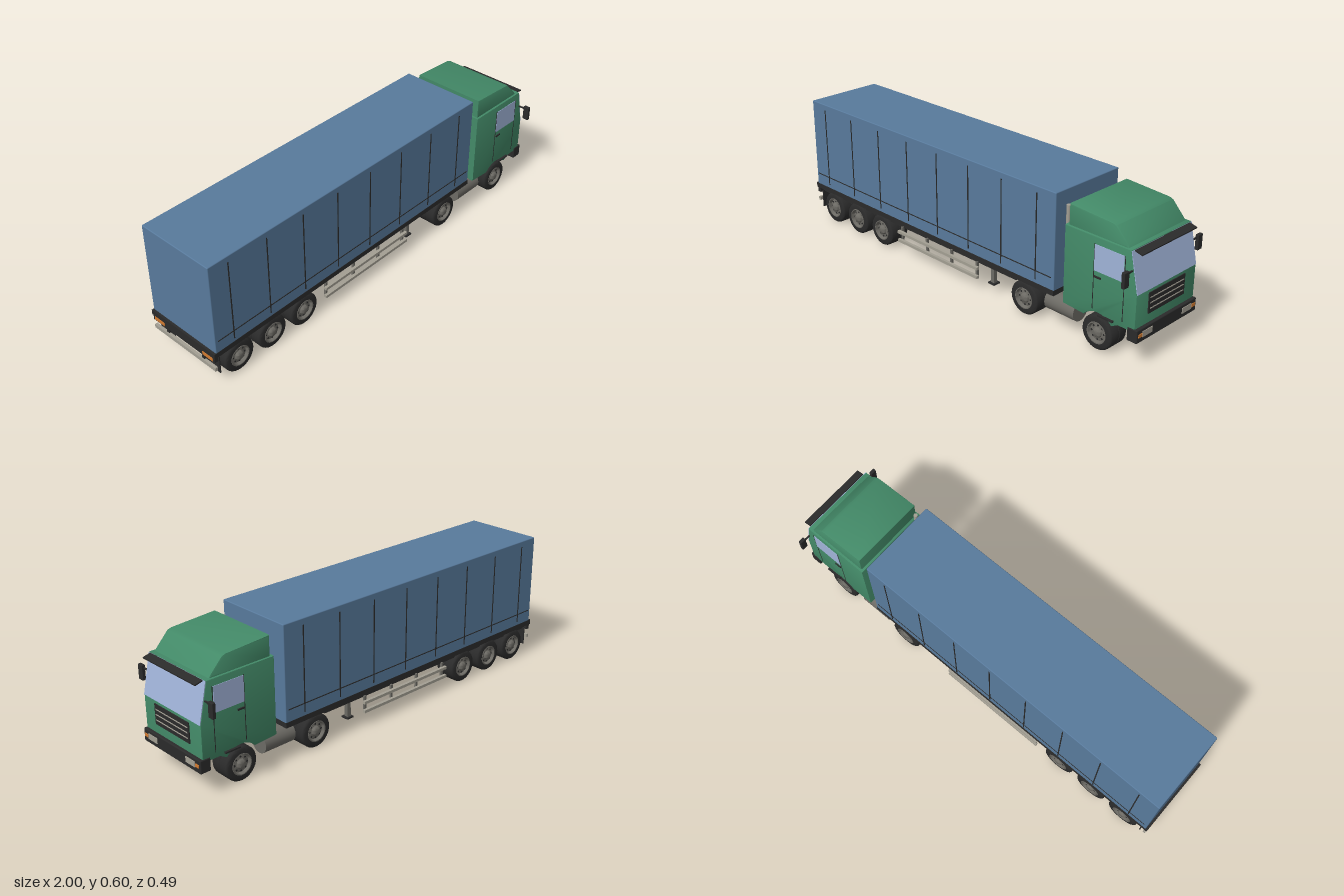
import * as THREE from 'three';
import { RoundedBoxGeometry } from 'three/addons/geometries/RoundedBoxGeometry.js';
import { toCreasedNormals } from 'three/addons/utils/BufferGeometryUtils.js';

export function createModel() {
  const truck = new THREE.Group();
  truck.name = 'truck';
  const mat = (name, color) => {
    const m = new THREE.MeshStandardMaterial({ color });
    m.name = name;
    return m;
  };
  const blue = mat('trailer blue', 0x587a9c);
  const green = mat('cab green', 0x438a68);
  const glass = mat('pale glass', 0xa0b3d8);
  const black = mat('black trim', 0x2b2b2b);
  const grey = mat('rim grey', 0x6c6a64);
  const beige = mat('light metal', 0xa39f93);
  const orange = mat('indicator orange', 0xd27b30);

  const add = (name, geometry, material, parent = truck) => {
    const m = new THREE.Mesh(geometry, material);
    m.name = name;
    parent.add(m);
    return m;
  };
  // Box given by its limits on each axis; r rounds the edges
  const box = (name, material, [x0, x1], [y0, y1], [z0, z1], r = 0) => {
    const size = [x1 - x0, y1 - y0, z1 - z0];
    const g = r ? new RoundedBoxGeometry(...size, 2, r) : new THREE.BoxGeometry(...size);
    const m = add(name, g, material);
    m.position.set((x0 + x1) / 2, (y0 + y1) / 2, (z0 + z1) / 2);
    return m;
  };
  // The same box on both sides
  const pair = (name, material, x, y, [z0, z1], r = 0) => {
    box(name, material, x, y, [z0, z1], r);
    box(name, material, x, y, [-z1, -z0], r);
  };
  // Side profile extruded across the width
  const slab = (name, material, points, halfWidth, bevel) => {
    const shape = new THREE.Shape(points.map(([x, y]) => new THREE.Vector2(x, y)));
    const g = new THREE.ExtrudeGeometry(shape, {
      depth: 2 * (halfWidth - bevel), bevelEnabled: true, bevelSize: bevel,
      bevelThickness: bevel, bevelOffset: -bevel, bevelSegments: 2, curveSegments: 12,
    });
    g.translate(0, 0, -(halfWidth - bevel));
    return add(name, toCreasedNormals(g, 0.6), material);
  };

  // Trailer body with curtain seams
  box('trailerBody', blue, [-0.99, 0.575], [0.17, 0.6], [-0.189, 0.189], 0.004);
  for (let i = 0; i < 8; i++) {
    const x = -0.894 + i * 0.1955;
    pair('curtainSeam', black, [x - 0.0025, x + 0.0025], [0.19, 0.572], [0.188, 0.191]);
  }
  pair('curtainLowerSeam', black, [-0.975, 0.56], [0.227, 0.231], [0.188, 0.191]);

  // Trailer chassis
  box('trailerDeck', black, [-1, 0.575], [0.15, 0.174], [-0.19, 0.19]);
  box('trailerSubframe', black, [-0.99, 0.35], [0.13, 0.15], [-0.17, 0.17]);
  pair('trailerBeam', black, [-0.98, 0.25], [0.105, 0.13], [0.055, 0.075]);

  // Side guards
  pair('guardUpperRail', beige, [-0.385, 0.137], [0.104, 0.117], [0.178, 0.192]);
  pair('guardLowerRail', beige, [-0.385, 0.137], [0.062, 0.075], [0.178, 0.192]);
  for (const x of [-0.37, -0.2, -0.04, 0.122])
    pair('guardPost', grey, [x - 0.005, x + 0.005], [0.06, 0.135], [0.168, 0.179]);

  // Landing legs
  pair('landingLeg', grey, [0.182, 0.2], [0.05, 0.135], [0.13, 0.15]);
  pair('landingFoot', black, [0.173, 0.209], [0.044, 0.051], [0.122, 0.158]);

  // Rear end
  box('rearLightBar', black, [-0.998, -0.98], [0.125, 0.152], [-0.185, 0.185]);
  pair('rearIndicator', orange, [-1, -0.997], [0.13, 0.147], [0.115, 0.175]);
  box('underrunBar', beige, [-0.998, -0.985], [0.08, 0.097], [-0.185, 0.185]);
  pair('underrunPost', black, [-0.992, -0.98], [0.085, 0.15], [0.1, 0.115]);
  pair('mudflap', black, [-0.972, -0.967], [0.05, 0.135], [0.095, 0.18]);

  // Wheels: rounded tyre, dished rim, hub and rim holes
  const lathe = (pts) => toCreasedNormals(
    new THREE.LatheGeometry(pts.map(([r, y]) => new THREE.Vector2(r, y)), 32), 0.7);
  const tyreGeo = lathe([[0.001, 0.088], [0.066, 0.088], [0.072, 0.091], [0.075, 0.096], [0.075, 0.134],
    [0.073, 0.136], [0.075, 0.138], [0.075, 0.178], [0.072, 0.183], [0.066, 0.186], [0.047, 0.186], [0.045, 0.168], [0.001, 0.168]]);
  const rimGeo = lathe([[0.048, 0.184], [0.047, 0.188], [0.043, 0.188], [0.038, 0.175], [0.022, 0.178],
    [0.019, 0.187], [0.015, 0.19], [0, 0.19]]);
  const holeGeo = new THREE.CylinderGeometry(0.0042, 0.0042, 0.003, 10);
  for (const x of [-0.87, -0.69, -0.508, 0.41, 0.8]) {
    for (const s of [1, -1]) {
      const wheel = new THREE.Group();
      wheel.name = 'wheel';
      add('tyre', tyreGeo, black, wheel);
      add('rim', rimGeo, grey, wheel);
      for (let i = 0; i < 8; i++) {
        const a = i * Math.PI / 4;
        add('rimHole', holeGeo, black, wheel).position.set(0.031 * Math.cos(a), 0.177, 0.031 * Math.sin(a));
      }
      wheel.rotation.x = s * Math.PI / 2;
      wheel.position.set(x, 0.075, 0);
      truck.add(wheel);
    }
    const axle = add('axle', new THREE.CylinderGeometry(0.012, 0.012, 0.19, 12), black);
    axle.rotation.x = Math.PI / 2;
    axle.position.set(x, 0.085, 0);
  }

  // Tractor frame, coupling, fuel tanks and exhaust
  box('tractorFrame', black, [0.225, 0.96], [0.115, 0.15], [-0.068, 0.068]);
  box('couplingPlate', black, [0.33, 0.48], [0.146, 0.156], [-0.1, 0.1]);
  for (const s of [1, -1]) {
    const tank = add('fuelTank', toCreasedNormals(new THREE.CylinderGeometry(0.044, 0.044, 0.155, 24), 0.7), grey);
    tank.rotation.z = Math.PI / 2;
    tank.position.set(0.598, 0.102, s * 0.138);
  }
  const stack = add('exhaustStack', new THREE.CylinderGeometry(0.009, 0.009, 0.345, 16), beige);
  stack.position.set(0.607, 0.378, 0.15);

  // Cab shell with wheel arch, and roof fairing
  const arch = [];
  for (let i = 0; i <= 8; i++) {
    const a = Math.PI * (0.78 - 0.56 * i / 8);
    arch.push([0.8 + 0.09 * Math.cos(a), 0.075 + 0.09 * Math.sin(a)]);
  }
  slab('cabShell', green, [[0.622, 0.14], ...arch, [0.9, 0.15], [0.983, 0.15], [0.983, 0.308],
    [0.945, 0.484], [0.622, 0.484]], 0.186, 0.004);
  slab('roofFairing', green, [[0.633, 0.475], [0.932, 0.475], [0.918, 0.495], [0.862, 0.554],
    [0.845, 0.56], [0.633, 0.572]], 0.176, 0.006);
  box('cabFloor', black, [0.63, 0.96], [0.145, 0.17], [-0.088, 0.088]);

  // Windscreen on the sloping front
  const screen = box('windscreen', glass, [-0.002, 0.002], [-0.0875, 0.0875], [-0.184, 0.184]);
  screen.rotation.z = Math.atan2(0.038, 0.176);
  screen.position.set(0.9645, 0.396, 0);
  const visor = box('sunVisor', black, [-0.018, 0.018], [-0.003, 0.003], [-0.17, 0.17]);
  visor.rotation.z = -0.25;
  visor.position.set(0.967, 0.477, 0);

  // Doors: window, seams, handle and sill step
  const pane = new THREE.Shape([[0.775, 0.342], [0.92, 0.342], [0.917, 0.453], [0.775, 0.453]]
    .map(([x, y]) => new THREE.Vector2(x, y)));
  const paneGeo = new THREE.ExtrudeGeometry(pane, { depth: 0.003, bevelEnabled: false });
  for (const z of [0.185, -0.188]) add('sideWindow', paneGeo, glass).position.z = z;
  pair('doorRearSeam', black, [0.772, 0.775], [0.175, 0.455], [0.185, 0.187]);
  pair('doorFrontSeam', black, [0.92, 0.923], [0.175, 0.455], [0.185, 0.187]);
  pair('doorHandle', black, [0.778, 0.81], [0.314, 0.321], [0.185, 0.191]);
  pair('sillStep', black, [0.808, 0.882], [0.156, 0.163], [0.183, 0.196]);

  // Mirrors
  pair('mirror', black, [0.95, 0.966], [0.351, 0.418], [0.215, 0.244], 0.003);
  pair('mirrorArm', black, [0.953, 0.959], [0.402, 0.408], [0.18, 0.22]);

  // Grille
  box('grille', black, [0.98, 0.987], [0.207, 0.297], [-0.113, 0.113]);
  for (const y of [0.228, 0.252, 0.275])
    box('grilleBar', beige, [0.986, 0.989], [y - 0.002, y + 0.002], [-0.105, 0.105]);

  // Bumper and lamps
  box('bumper', black, [0.948, 0.997], [0.108, 0.166], [-0.189, 0.189], 0.005);
  pair('headlight', beige, [0.995, 0.9995], [0.128, 0.153], [0.095, 0.155]);
  pair('frontIndicator', orange, [0.995, 1], [0.133, 0.147], [0.158, 0.18]);
  return truck;
}
